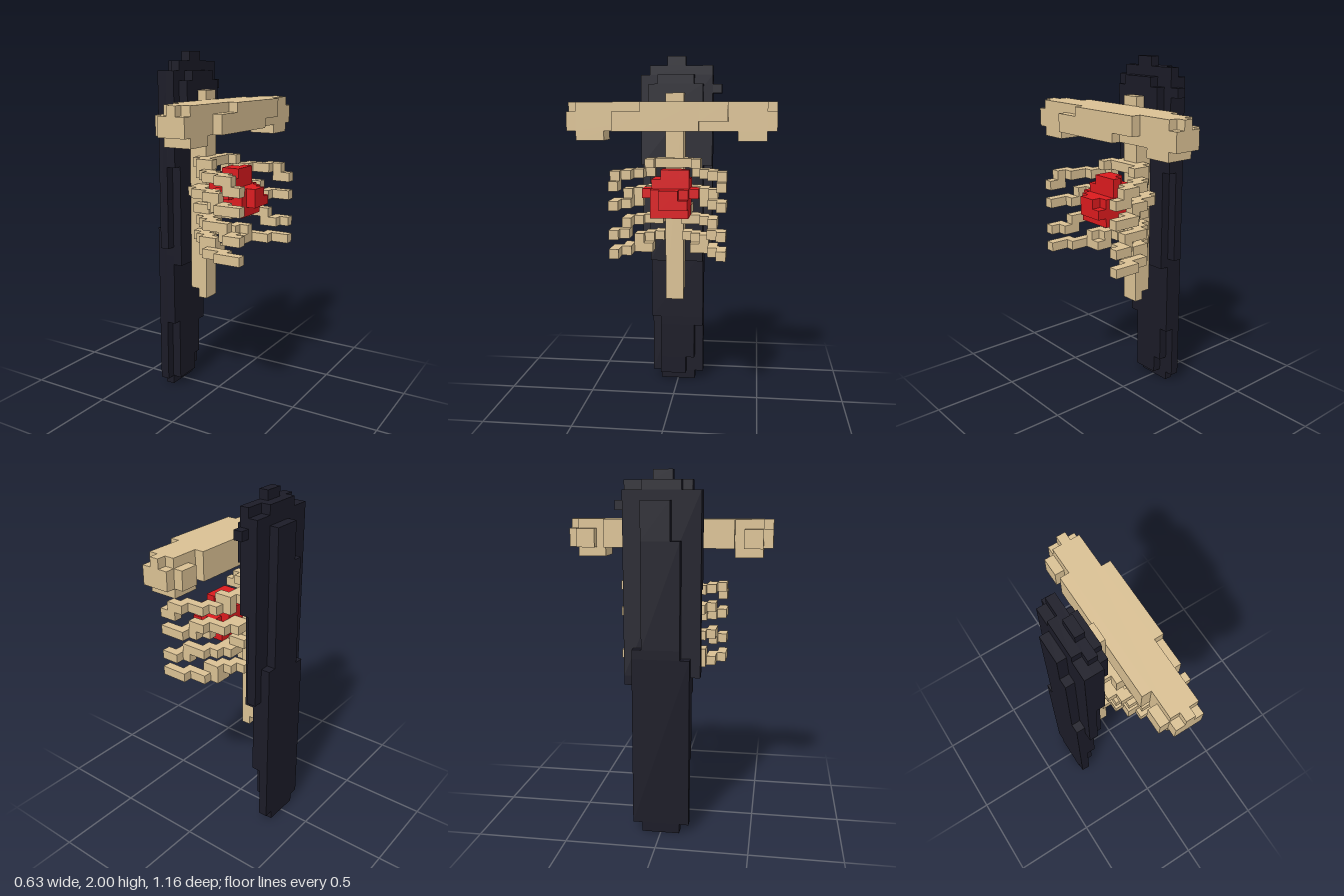
import * as THREE from 'three';

const U = 2 / 38; // voxel size
const mat = (name, color) => new THREE.MeshStandardMaterial({ name, color });

export function createModel() {
  const dark = mat('dark slab', 0x1b1b27);
  const bone = mat('bone', 0xdac194);
  const red = mat('heart red', 0xdb1a1e);
  const model = new THREE.Group();

  // Block in voxel units: x from 0..12, y from 0..38, z from -11..11
  const block = (parent, material, name, [x0, x1, y0, y1, z0, z1]) => {
    const m = new THREE.Mesh(new THREE.BoxGeometry((x1 - x0) * U, (y1 - y0) * U, (z1 - z0) * U), material);
    m.position.set(((x0 + x1) / 2 - 6) * U, ((y0 + y1) / 2) * U, ((z0 + z1) / 2) * U);
    m.name = name;
    parent.add(m);
  };
  const part = (name, material, boxes) => {
    const g = new THREE.Group();
    g.name = name;
    boxes.forEach((b, i) => block(g, material, name + 'Block' + (i + 1), b));
    model.add(g);
  };

  // Tall dark slab, layered from the outer face inwards
  part('backSlab', dark, [
    [0, 1, 0, 1, -2, 2], [0, 1, 1, 19, -3, 3], [0, 1, 19, 20, -3, 2], [0, 1, 20, 31, -2, 2], [0, 1, 31, 35, -2, 1],
    [1, 2, 1, 3, -1, 2], [1, 2, 3, 7, -2, 2], [1, 2, 7, 8, -3, 2], [1, 2, 8, 16, -3, 3],
    [1, 2, 16, 17, -4, 3], [1, 2, 17, 36, -4, 4], [1, 2, 36, 37, -2, 2],
    [2, 3, 15, 26, -3, 3], [2, 3, 26, 36, -4, 4], [2, 3, 36, 37, -4, 3], [2, 3, 37, 38, -1, 1],
    [2, 3, 34, 35, -5, -4], [3, 4, 31, 35, -3, 3], [3, 4, 35, 36, -2, 2],
  ]);

  // Spine
  part('spine', bone, [[3, 4, 12, 31, -1, 1], [4, 5, 11, 34, -1, 1]]);

  // Shoulder beam with notched, hanging ends
  const ends = [
    [6, 9, 30, 32, 10, 11], [7, 8, 32, 33, 10, 11],
    [5, 6, 30, 32, 8, 10], [6, 9, 29, 30, 7, 10],
  ];
  part('shoulderBeam', bone, [
    [6, 9, 30, 33, -10, 10], [5, 6, 30, 33, -7, 7],
    [9, 10, 31, 33, -6, -3], [9, 10, 30, 33, -3, 3], [9, 10, 30, 32, 3, 6],
    ...ends,
    ...ends.map(([a, b, c, d, e, f]) => [a, b, c, d, -f, -e]),
  ]);

  // Four rib pairs: [x0, x1, y, z0, z1], mirrored in z
  const ribs = [
    [[4, 6, 26, 0, 2], [5, 7, 26, 2, 3], [5, 6, 25, 2, 3], [6, 8, 25, 3, 4], [7, 10, 25, 4, 5], [9, 11, 25, 5, 6], [10, 12, 24, 5, 6]],
    [[4, 6, 23, 1, 3], [5, 8, 23, 3, 4], [7, 9, 23, 4, 5], [8, 10, 22, 4, 5], [9, 12, 22, 5, 6], [7, 8, 22, 3, 4]],
    [[4, 6, 21, 1, 2], [5, 7, 20, 1, 3], [6, 8, 20, 3, 4], [7, 10, 20, 4, 5], [9, 11, 19, 4, 5], [10, 12, 19, 5, 6]],
    [[4, 6, 18, 1, 2], [5, 7, 18, 2, 3], [6, 8, 18, 3, 4], [6, 8, 17, 2, 4], [7, 10, 17, 4, 5], [9, 12, 17, 5, 6]],
  ];
  ribs.forEach((rib, i) => {
    part('leftRib' + (i + 1), bone, rib.map(([a, b, y, c, d]) => [a, b, y, y + 1, c, d]));
    part('rightRib' + (i + 1), bone, rib.map(([a, b, y, c, d]) => [a, b, y, y + 1, -d, -c]));
  });

  // Heart
  part('heart', red, [
    [7, 10, 21, 22, -2, 2], [6, 10, 22, 24, -2, 2], [10, 11, 22, 24, -1, 1], [10, 11, 22, 23, -2, -1],
    [7, 9, 23, 24, -3, 3], [6, 9, 24, 25, -2, 2], [7, 9, 25, 26, -1, 1], [8, 9, 25, 26, -2, -1],
  ]);

  return model;
}
